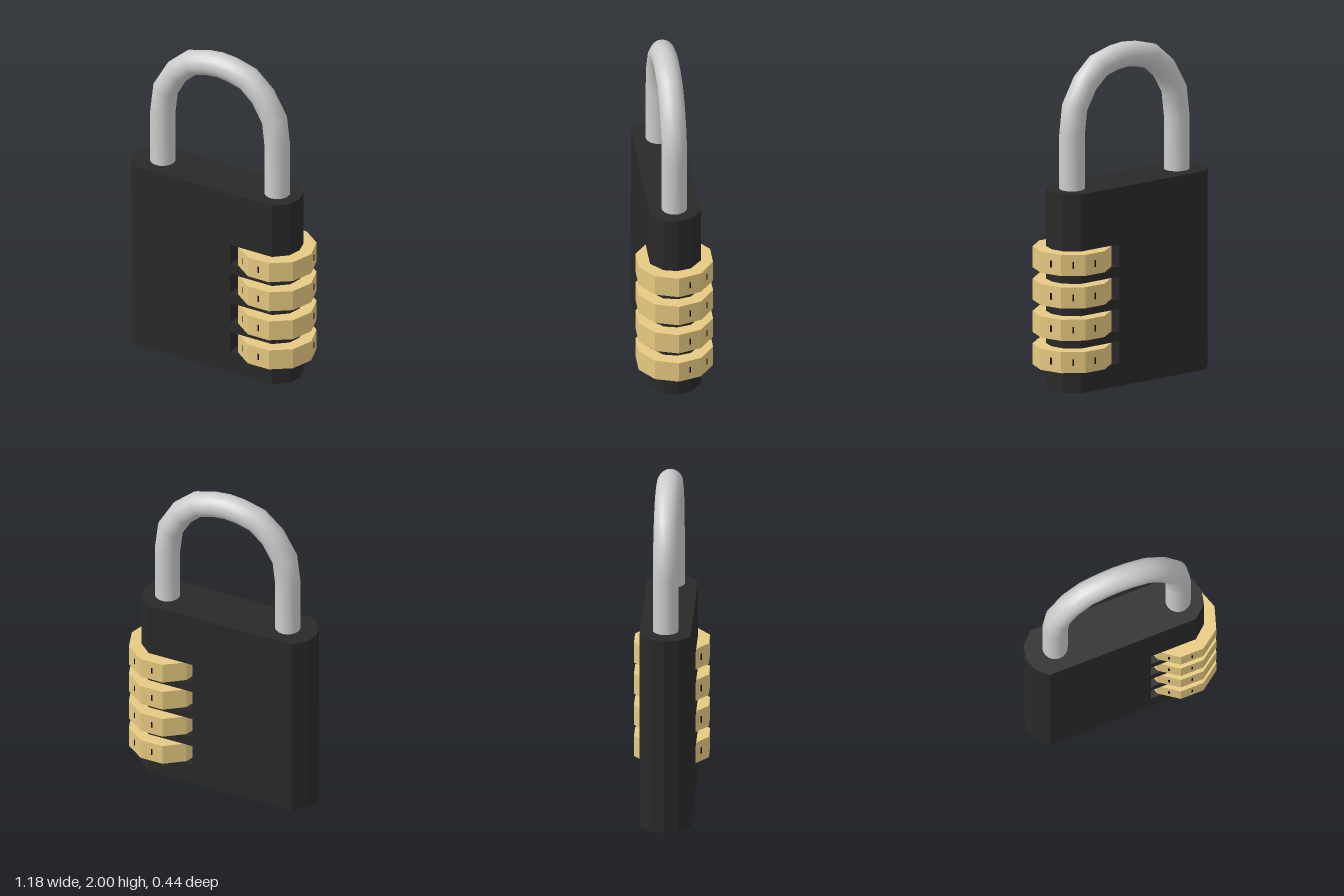
import * as THREE from 'three';

const black = new THREE.MeshStandardMaterial({ color: 0x292929 });
black.name = 'blackBody';
const brass = new THREE.MeshStandardMaterial({ color: 0xe6c981 });
brass.name = 'brass';
const steel = new THREE.MeshStandardMaterial({ color: 0xcccccc });
steel.name = 'steel';
const ink = new THREE.MeshStandardMaterial({ color: 0x111111 });
ink.name = 'markInk';

const BODY_TOP = 1.185;
const DIAL = { x: 0.361, r: 0.228, h: 0.126, sides: 10, ys: [0.201, 0.394, 0.587, 0.78] };
const SLOT_X = 0.132;
const SLOT_H = 0.132;

function addMesh(parent, name, geometry, material) {
  const mesh = new THREE.Mesh(geometry, material);
  mesh.name = name;
  parent.add(mesh);
  return mesh;
}

// Horizontal slab of the case between two heights
function slab(points, y0, y1) {
  const shape = new THREE.Shape(points.map(([x, z]) => new THREE.Vector2(x, z)));
  const g = new THREE.ExtrudeGeometry(shape, { depth: y1 - y0, bevelEnabled: false });
  return g.rotateX(-Math.PI / 2).translate(0, y0, 0);
}

// Round bar swept along a path in the xy plane, mitred at each bend
function bar(path, radius, sides) {
  const pos = [], index = [];
  path.forEach((p, i) => {
    const d0 = p.clone().sub(path[Math.max(i - 1, 0)]).normalize();
    const d1 = path[Math.min(i + 1, path.length - 1)].clone().sub(p).normalize();
    const t = d0.clone().add(d1).normalize();
    const miter = 1 / t.dot(i ? d0 : d1);
    for (let j = 0; j < sides; j++) {
      const a = (j / sides) * Math.PI * 2;
      const u = Math.cos(a) * radius * miter;
      pos.push(p.x - t.y * u, p.y + t.x * u, Math.sin(a) * radius);
      if (i === 0) continue;
      const k = (j + 1) % sides;
      const a0 = (i - 1) * sides + j, a1 = (i - 1) * sides + k;
      const b0 = i * sides + j, b1 = i * sides + k;
      index.push(a0, a1, b0, a1, b1, b0);
    }
  });
  const g = new THREE.BufferGeometry();
  g.setAttribute('position', new THREE.Float32BufferAttribute(pos, 3));
  g.setIndex(index);
  g.computeVertexNormals();
  return g;
}

export function createModel() {
  const model = new THREE.Group();
  model.name = 'padlock';

  // Case: full slabs alternating with slabs cut away for the dials
  const left = [[-0.5, 0.148], [-0.57, 0.08], [-0.59, 0], [-0.57, -0.08], [-0.5, -0.148]];
  const full = [...left, [0.412, -0.148], [0.49, -0.08], [0.51, 0], [0.49, 0.08], [0.412, 0.148]];
  const cut = [...left, [SLOT_X, -0.148], [SLOT_X, 0.148]];
  const body = new THREE.Group();
  body.name = 'body';
  model.add(body);
  let y = 0;
  for (const dy of DIAL.ys) {
    addMesh(body, 'bodySection', slab(full, y, dy - SLOT_H / 2), black);
    y = dy + SLOT_H / 2;
    addMesh(body, 'slottedSection', slab(cut, dy - SLOT_H / 2, y), black);
  }
  addMesh(body, 'upperBody', slab(full, y, BODY_TOP), black);

  // Shackle: left half of the arch, mirrored about its centre
  const half = [[0.384, 1.15], [0.384, 1.505], [0.365, 1.665], [0.288, 1.8], [0.19, 1.887], [0.08, 1.918]];
  const path = [
    ...half.map(([x, py]) => new THREE.Vector2(-0.023 - x, py)),
    new THREE.Vector2(-0.023, 1.926),
    ...half.slice().reverse().map(([x, py]) => new THREE.Vector2(-0.023 + x, py)),
  ];
  addMesh(model, 'shackle', bar(path, 0.074, 20), steel);

  // Combination dials with a small tick on the marked faces
  const step = (Math.PI * 2) / DIAL.sides;
  const apothem = DIAL.r * Math.cos(step / 2);
  const dialGeo = new THREE.CylinderGeometry(DIAL.r, DIAL.r, DIAL.h, DIAL.sides, 1, false, Math.PI / 2)
    .toNonIndexed();
  dialGeo.computeVertexNormals();
  const tickGeo = new THREE.BoxGeometry(0.01, 0.04, 0.002);
  for (const dy of DIAL.ys) {
    const dial = new THREE.Group();
    dial.name = 'dial';
    dial.position.set(DIAL.x, dy, 0);
    model.add(dial);
    addMesh(dial, 'dialRing', dialGeo, brass);
    for (const face of [0, 1, 2, 6, 7]) {
      const a = Math.PI / 2 + (face + 0.5) * step;
      const tick = addMesh(dial, 'dialTick', tickGeo, ink);
      tick.position.set(Math.sin(a) * apothem, 0, Math.cos(a) * apothem);
      tick.rotation.y = a;
    }
  }
  return model;
}
